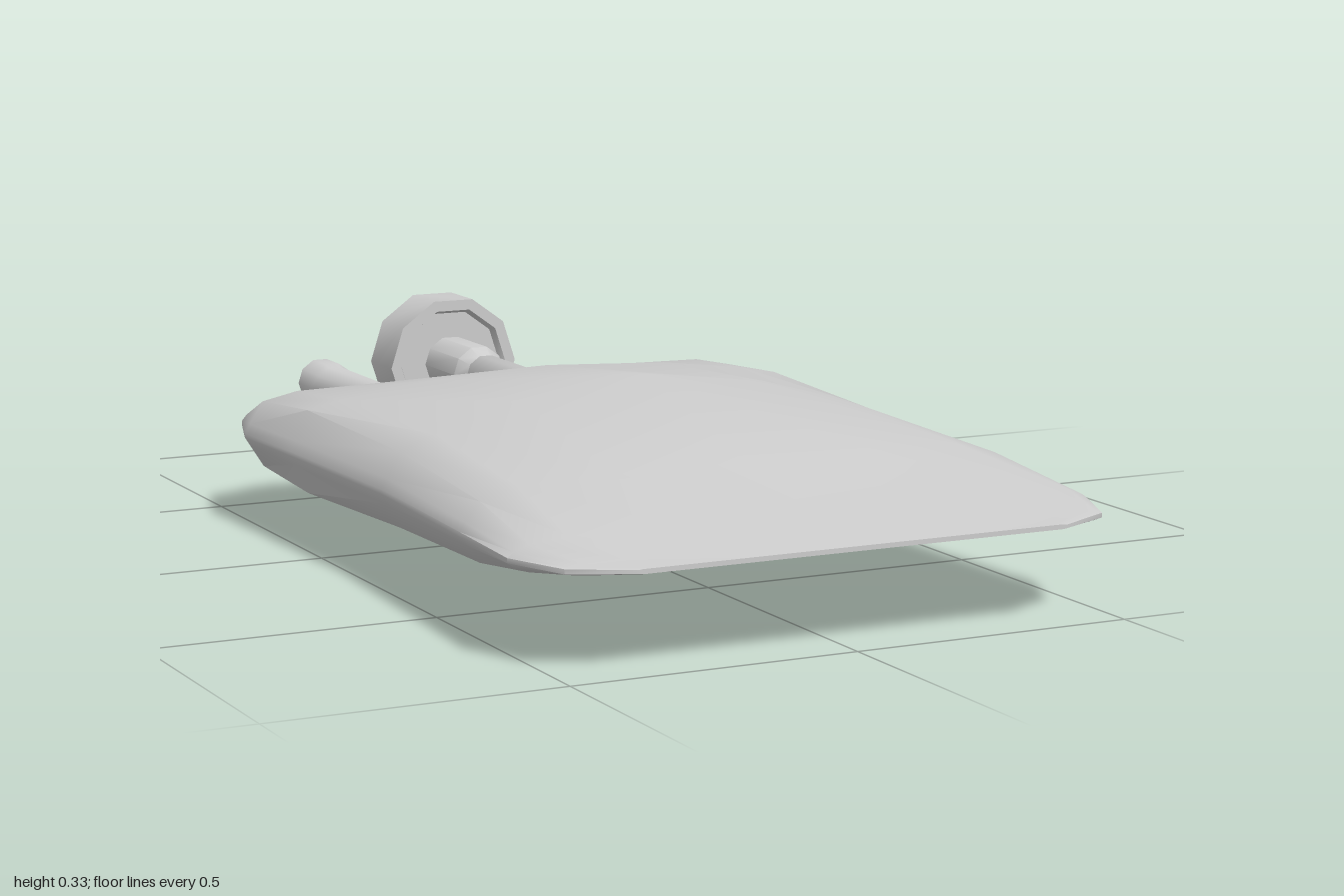
import * as THREE from 'three';
import { toCreasedNormals } from 'three/addons/utils/BufferGeometryUtils.js';

const MID = 0.167;
const material = new THREE.MeshStandardMaterial({ color: 0xcccccc, side: THREE.DoubleSide });

function addPart(parent, name, geometry, crease = 0.8) {
  const mesh = new THREE.Mesh(toCreasedNormals(geometry, crease), material);
  mesh.name = name;
  parent.add(mesh);
  return mesh;
}

// Pillow-shaped pouch lofted from closed cross-sections along z.
function pouchGeometry() {
  const across = [0, 0.47, 0.8, 0.93, 0.98, 1]; // fractions of the half width
  // z, half width, then half thickness at each fraction
  const sections = [
    [1.0, 0.385, 0.004, 0.004, 0.004, 0.004, 0.004, 0.003],
    [0.95, 0.485, 0.012, 0.012, 0.011, 0.009, 0.006, 0.004],
    [0.84, 0.53, 0.032, 0.032, 0.028, 0.022, 0.012, 0.004],
    [0.63, 0.517, 0.073, 0.073, 0.068, 0.05, 0.018, 0.004],
    [0.26, 0.495, 0.165, 0.135, 0.09, 0.065, 0.022, 0.004],
    [-0.13, 0.507, 0.122, 0.11, 0.088, 0.075, 0.022, 0.004],
    [-0.33, 0.515, 0.078, 0.077, 0.074, 0.06, 0.02, 0.004],
    [-0.45, 0.475, 0.037, 0.036, 0.034, 0.028, 0.015, 0.004],
    [-0.51, 0.36, 0.01, 0.01, 0.01, 0.009, 0.007, 0.004],
  ];
  const positions = [], index = [];
  const last = across.length - 1, n = 4 * last + 2;
  for (const [z, w, ...h] of sections) {
    // top from right rim to left rim, then bottom back again
    for (const side of [1, -1]) {
      for (let i = -last; i <= last; i++) {
        const k = Math.abs(i);
        positions.push(side * Math.sign(i) * across[k] * w, MID + side * h[k], z);
      }
    }
  }
  for (let s = 0; s < sections.length - 1; s++) {
    for (let i = 0; i < n; i++) {
      const a = s * n + i, b = s * n + (i + 1) % n;
      index.push(a, b, a + n, b, b + n, a + n);
    }
  }
  // end caps
  const end = (sections.length - 1) * n;
  for (let i = 1; i < n - 1; i++) {
    index.push(0, i + 1, i, end, end + i, end + i + 1);
  }
  const geometry = new THREE.BufferGeometry();
  geometry.setAttribute('position', new THREE.Float32BufferAttribute(positions, 3));
  geometry.setIndex(index);
  return geometry;
}

// Ten-sided turned part whose axis runs backwards; profile is [radius, -z].
function turned(profile) {
  const points = profile.map(([r, d]) => new THREE.Vector2(r, d));
  return new THREE.LatheGeometry(points, 10, Math.PI / 2).rotateX(-Math.PI / 2);
}

export function createModel() {
  const model = new THREE.Group();
  model.name = 'fluidPouch';

  addPart(model, 'pouch', pouchGeometry(), 0.9);

  // Plain outlet tube with a slightly wider tip
  const outlet = new THREE.Group();
  outlet.name = 'outletPort';
  outlet.position.set(-0.172, MID, 0);
  addPart(outlet, 'outletTube', turned([
    [0, 0.4], [0.041, 0.4], [0.041, 0.74], [0.046, 0.75], [0.046, 0.815], [0, 0.815],
  ]));
  model.add(outlet);

  // Capped port: tube, collar and hollow cap
  const port = new THREE.Group();
  port.name = 'cappedPort';
  port.position.set(0.151, MID, 0);
  addPart(port, 'portTube', turned([
    [0, 0.4], [0.042, 0.4], [0.042, 0.735], [0.036, 0.745], [0, 0.745],
  ]));
  addPart(port, 'collar', turned([
    [0, 0.742], [0.038, 0.742], [0.055, 0.768], [0.055, 0.93],
  ]));
  addPart(port, 'cap', turned([
    [0, 0.91], [0.108, 0.91], [0.115, 0.893], [0.137, 0.893], [0.137, 1.0], [0, 1.0],
  ]));
  model.add(port);

  return model;
}
